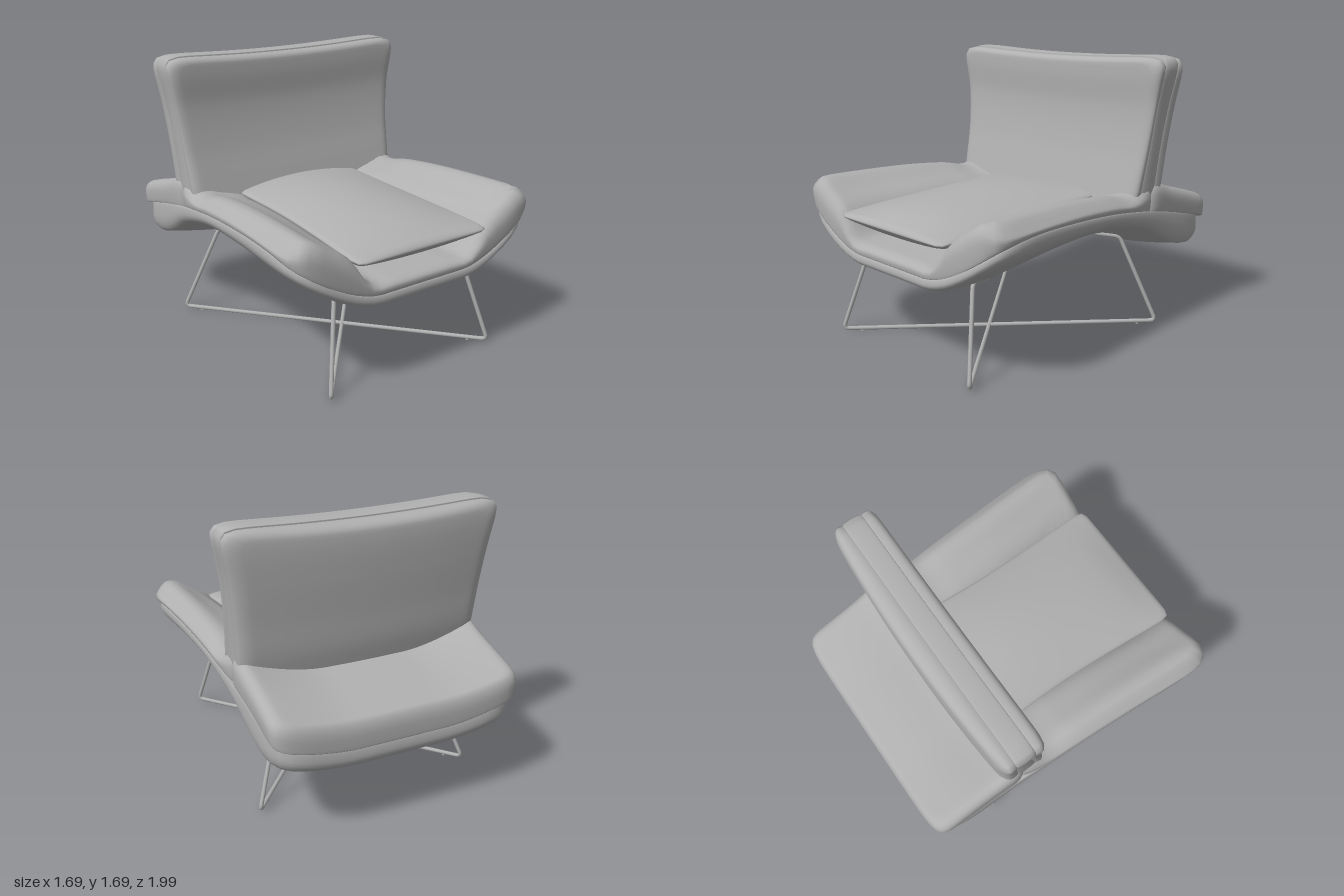
import * as THREE from 'three';

// Smooth function through a few (position, value) points
function curve(xs, ys) {
  const c = new THREE.CubicInterpolant(xs, ys, 1, new Float32Array(1));
  return (t) => c.evaluate(t)[0];
}

// Soft slab: rounded-rectangle rings swept round its rim, bent by map(u, v, t).
// u, v run -1..1 over the face and t runs -1..1 through the thickness;
// low and high set how far the rim rounds in on the t = -1 and t = 1 sides.
function pillow(map, { low = 0.07, high = 0.07, power = 10, sides = 112 } = {}) {
  const rings = [], steps = 20;
  for (let i = 0; i < steps; i++) rings.push([(i / steps) * (1 - low), -1]);
  for (let i = 0; i <= 10; i++) {
    const a = (i / 10 - 0.5) * Math.PI, inset = a < 0 ? low : high;
    rings.push([1 - inset + inset * Math.cos(a), Math.sin(a)]);
  }
  for (let i = steps - 1; i >= 0; i--) rings.push([(i / steps) * (1 - high), 1]);

  const pos = [], index = [];
  rings.forEach(([s, t], i) => {
    const p = power + 40 * (1 - s);
    for (let j = 0; j < sides; j++) {
      const a = (j / sides) * Math.PI * 2, c = Math.cos(a), d = Math.sin(a);
      const r = s / Math.pow(Math.abs(c) ** p + Math.abs(d) ** p, 1 / p);
      pos.push(...map(c * r, d * r, t));
      if (i === rings.length - 1) continue;
      const m = i * sides + j, n = i * sides + (j + 1) % sides;
      index.push(m, n, m + sides, n, n + sides, m + sides);
    }
  });
  const g = new THREE.BufferGeometry();
  g.setAttribute('position', new THREE.Float32BufferAttribute(pos, 3));
  g.setIndex(index);
  g.computeVertexNormals();
  return g;
}

const mix = (a, b, t) => a + (b - a) * (t + 1) / 2;

// Seat outline and heights along z (back to front)
const Z = [-1, -0.8, -0.6, -0.4, -0.2, 0, 0.3, 0.7, 0.99];
const halfWidth = curve([-1, -0.6, -0.2, 0.4, 0.8, 0.99], [0.76, 0.762, 0.785, 0.82, 0.847, 0.855]);
const shellLow = curve(Z, [0.44, 0.425, 0.47, 0.55, 0.585, 0.585, 0.545, 0.49, 0.5]);
const shellHigh = curve(Z, [0.56, 0.59, 0.63, 0.66, 0.67, 0.66, 0.63, 0.58, 0.57]);
const lowRise = curve(Z, [0.07, 0.07, 0.08, 0.11, 0.14, 0.18, 0.235, 0.285, 0.265]);
const seamEdge = curve(Z, [0.64, 0.69, 0.735, 0.775, 0.81, 0.835, 0.855, 0.86, 0.83]);
const padHigh = curve(Z, [0.715, 0.77, 0.805, 0.83, 0.77, 0.74, 0.71, 0.65, 0.63]);
const padEdge = curve(Z, [0.78, 0.845, 0.905, 0.965, 0.89, 0.92, 0.945, 0.955, 0.955]);

// Upturn of the wings across the width
const sweep = curve([0, 0.2, 0.32, 0.45, 0.6, 0.84], [0, 0, 0.01, 0.14, 0.42, 1]);
const wing = curve([0, 0.2, 0.34, 0.38, 0.46, 0.6, 0.74, 0.84], [0, 0, 0.01, 0.11, 0.48, 0.77, 1, 0.8]);

function seam(u, z) {
  return shellHigh(z) + (seamEdge(z) - shellHigh(z)) * sweep(Math.abs(u) * 0.84);
}

function shellPoint(u, v, t) {
  const z = -0.005 - 0.99 * v;
  const low = shellLow(z) + lowRise(z) * sweep(Math.abs(u) * 0.84);
  return [u * halfWidth(z), mix(low, seam(u, z), t), z];
}

// Upper pad between two z positions
function upperPad(zBack, zFront, lift) {
  return (u, v, t) => {
    const z = mix(zFront, zBack, v);
    const top = padHigh(z) + (padEdge(z) - padHigh(z)) * lift(Math.abs(u) * 0.84);
    return [u * halfWidth(z), mix(seam(u, z) - 0.004, top, t), z];
  };
}

// Loose middle cushion, lens-shaped with a thin rim
const cushionWidth = curve([-0.26, 0.2, 0.99], [0.44, 0.43, 0.465]);
const cushionRim = curve([-0.26, 0.3, 0.8, 0.99], [0.84, 0.82, 0.79, 0.775]);
const cushionCrown = curve([-0.26, 0, 0.4, 0.8, 0.99], [0.04, 0.065, 0.07, 0.05, 0.012]);
function cushionPoint(u, v, t) {
  const z = mix(0.99, -0.28, v);
  const dome = 1 - u * u;
  const belly = 0.08 * Math.sqrt(Math.max(0, dome)) * (1 - Math.max(0, -v) ** 8);
  const y = t * (0.012 + (t > 0 ? cushionCrown(z) * dome : belly));
  return [u * cushionWidth(z), cushionRim(z) + y, z];
}

// Backrest: three layers, each between a rear and a front z profile over height
const Y = [0.8, 0.95, 1.15, 1.4, 1.58, 1.69];
const backWidth = curve(Y, [0.748, 0.754, 0.768, 0.795, 0.828, 0.85]);
const faceFront = curve(Y, [-0.2, -0.235, -0.28, -0.31, -0.303, -0.305]);
const coreFront = curve(Y, [-0.275, -0.3, -0.335, -0.36, -0.375, -0.385]);
const coreRear = curve(Y, [-0.4, -0.415, -0.435, -0.465, -0.485, -0.495]);
const faceRear = curve(Y, [-0.48, -0.51, -0.53, -0.555, -0.565, -0.56]);
function backLayer(rear, front, bottom, top, bulge) {
  return (u, v, t) => {
    const y = mix(bottom, top, v);
    const bow = bulge * (1 - u * u) * Math.max(0, -t);
    const droop = 0.03 * (1 - u * u) * (v + 1) / 2;
    return [u * backWidth(y), y - droop, mix(rear(y), front(y), t) - bow];
  };
}

// Straight rod path with rounded bends
function bentPath(points, radius) {
  const path = new THREE.CurvePath();
  let from = points[0];
  for (let i = 1; i < points.length - 1; i++) {
    const p = points[i];
    const a = p.clone().add(points[i - 1].clone().sub(p).setLength(radius));
    const b = p.clone().add(points[i + 1].clone().sub(p).setLength(radius));
    path.add(new THREE.LineCurve3(from, a));
    path.add(new THREE.QuadraticBezierCurve3(a, p, b));
    from = b;
  }
  path.add(new THREE.LineCurve3(from, points[points.length - 1]));
  return path;
}

export function createModel() {
  const model = new THREE.Group();
  model.name = 'loungeChair';
  const grey = new THREE.MeshStandardMaterial({ color: 0xb0b0b0 });
  grey.name = 'grey';
  const add = (name, geometry, parent = model) => {
    const mesh = new THREE.Mesh(geometry, grey);
    mesh.name = name;
    parent.add(mesh);
    return mesh;
  };

  // Seat
  add('seatShell', pillow(shellPoint, { low: 0.06, high: 0.012 }));
  add('seatPad', pillow(upperPad(-0.44, 0.982, wing), { low: 0.012, high: 0.1, power: 14 }));
  add('rearSeatPad', pillow(upperPad(-1, -0.34, sweep), { low: 0.012, high: 0.1 }));
  add('middleCushion', pillow(cushionPoint, { low: 0.06, high: 0.06, power: 24 }));

  // Backrest
  add('backFrontPad', pillow(backLayer(coreFront, faceFront, 0.78, 1.69, 0), { low: 0.012, high: 0.08, power: 14 }));
  add('backCore', pillow(backLayer((y) => coreRear(y) - 0.005, (y) => coreFront(y) + 0.005, 0.76, 1.7, 0), { low: 0.012, high: 0.012, power: 14 }));
  add('backRearPad', pillow(backLayer(faceRear, coreRear, 0.76, 1.69, 0.038), { low: 0.11, high: 0.012, power: 14 }));

  // Crossed wire base: each rod runs from a front corner to the opposite rear one
  const base = new THREE.Group();
  base.name = 'wireBase';
  model.add(base);
  for (const s of [1, -1]) {
    const points = [
      [0.4, 0.51, 0.62], [0.465, 0.54, 0.78], [0.585, 0.018, 0.92],
      [-0.685, 0.018, -0.56], [-0.5, 0.56, -0.41], [-0.41, 0.59, -0.27],
    ].map(([x, y, z]) => new THREE.Vector3(s * x, y, z));
    add('baseRod', new THREE.TubeGeometry(bentPath(points, 0.035), 220, 0.0125, 10), base);

    // Glides under the rod
    for (const k of [0.06, 0.94]) {
      const glide = add('glide', new THREE.CylinderGeometry(0.01, 0.01, 0.012, 10), base);
      glide.position.lerpVectors(points[2], points[3], k).setY(0.006);
    }
  }
  return model;
}
